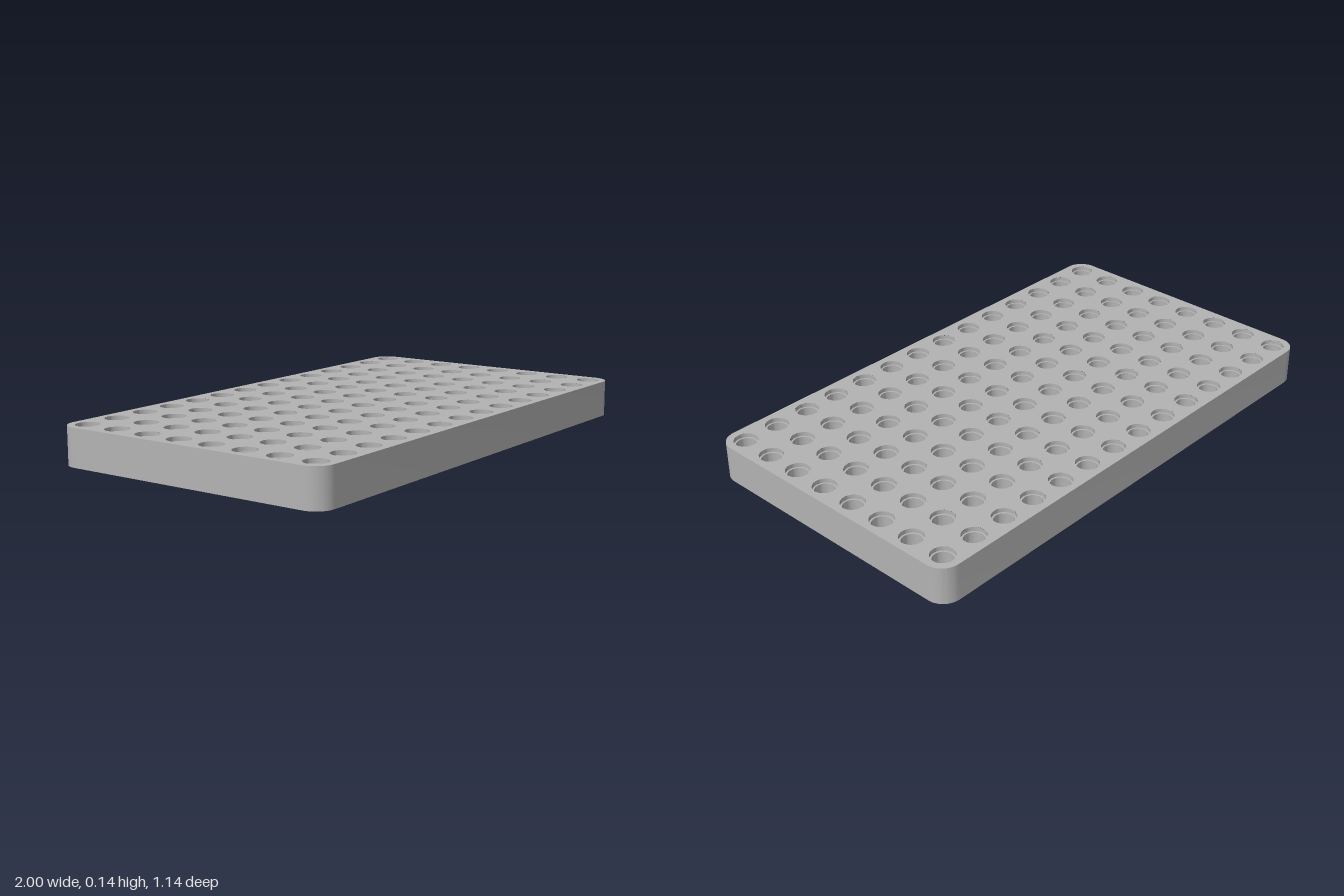
import * as THREE from 'three';
import { mergeGeometries, toCreasedNormals } from 'three/addons/utils/BufferGeometryUtils.js';

const COLS = 14, ROWS = 8, PITCH = 2 / COLS;
const HEIGHT = PITCH;
const HALF_X = 1, HALF_Z = ROWS * PITCH / 2, CORNER = PITCH / 2;
const RIM_R = 0.044, BORE_R = 0.037, RIM_DEPTH = 0.016;
const SEGMENTS = 32;

// Rounded rectangle footprint
function outline() {
  const s = new THREE.Shape();
  const x = HALF_X - CORNER, z = HALF_Z - CORNER;
  s.absarc(x, z, CORNER, 0, Math.PI / 2);
  s.absarc(-x, z, CORNER, Math.PI / 2, Math.PI);
  s.absarc(-x, -z, CORNER, Math.PI, Math.PI * 1.5);
  s.absarc(x, -z, CORNER, Math.PI * 1.5, Math.PI * 2);
  s.closePath();
  return s;
}

// Centres of the hole grid
function holeCentres() {
  const list = [];
  for (let i = 0; i < COLS; i++) {
    for (let j = 0; j < ROWS; j++) {
      list.push([(i + 0.5) * PITCH - HALF_X, (j + 0.5) * PITCH - HALF_Z]);
    }
  }
  return list;
}

// Outer side wall: the side faces of an extruded footprint
function wallGeometry() {
  const solid = new THREE.ExtrudeGeometry(outline(), { depth: HEIGHT, bevelEnabled: false, curveSegments: 12 });
  const { start, count } = solid.groups[1];
  const wall = new THREE.BufferGeometry();
  wall.setAttribute('position', new THREE.Float32BufferAttribute(
    solid.attributes.position.array.slice(start * 3, (start + count) * 3), 3));
  wall.rotateX(-Math.PI / 2);
  return toCreasedNormals(wall, 0.6);
}

// Perforated face, lying flat
function faceGeometry() {
  const shape = outline();
  for (const [x, z] of holeCentres()) {
    const hole = new THREE.Path();
    hole.absarc(x, z, RIM_R, 0, Math.PI * 2, true);
    shape.holes.push(hole);
  }
  return new THREE.ShapeGeometry(shape, SEGMENTS);
}

// Stepped bores: a wider recess at both ends of each through hole
function boresGeometry() {
  const profile = [
    [RIM_R, HEIGHT], [RIM_R, HEIGHT - RIM_DEPTH], [BORE_R, HEIGHT - RIM_DEPTH],
    [BORE_R, RIM_DEPTH], [RIM_R, RIM_DEPTH], [RIM_R, 0],
  ].map(([r, y]) => new THREE.Vector2(r, y));
  const bore = toCreasedNormals(new THREE.LatheGeometry(profile, SEGMENTS), 0.6);
  return mergeGeometries(holeCentres().map(([x, z]) => bore.clone().translate(x, 0, z)));
}

export function createModel() {
  const grey = new THREE.MeshStandardMaterial({ color: 0xb3b3b3 });
  grey.name = 'light grey';
  const group = new THREE.Group();
  group.name = 'perforatedPlate';
  const add = (name, geometry) => {
    const mesh = new THREE.Mesh(geometry, grey);
    mesh.name = name;
    group.add(mesh);
  };
  add('sideWall', wallGeometry());
  add('topFace', faceGeometry().rotateX(-Math.PI / 2).translate(0, HEIGHT, 0));
  add('bottomFace', faceGeometry().rotateX(Math.PI / 2));
  add('holeBores', boresGeometry());
  return group;
}
